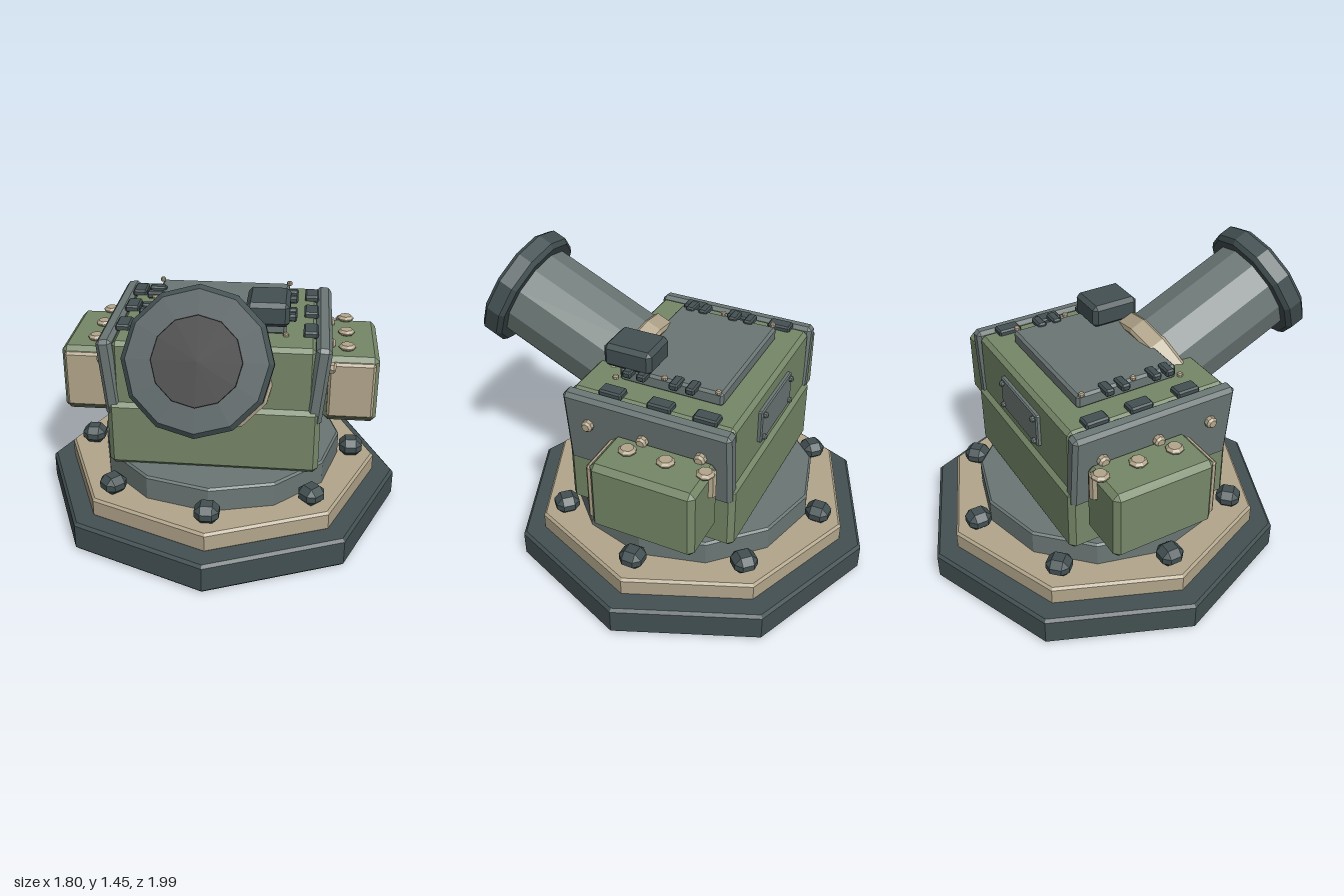
import * as THREE from 'three';
import { ConvexGeometry } from 'three/addons/geometries/ConvexGeometry.js';

const paint = (name, color) => {
  const m = new THREE.MeshStandardMaterial({ color });
  m.name = name;
  return m;
};

// Box with chamfered edges
function chamferBox(w, h, d, c) {
  const pts = [], s = [-1, 1];
  for (const i of s) for (const j of s) for (const k of s) {
    const x = w / 2, y = h / 2, z = d / 2;
    pts.push(new THREE.Vector3(i * x, j * (y - c), k * (z - c)),
      new THREE.Vector3(i * (x - c), j * y, k * (z - c)),
      new THREE.Vector3(i * (x - c), j * (y - c), k * z));
  }
  return new ConvexGeometry(pts);
}

// Faceted solid disc from y0 to y1 with chamfered rims
function prism(r, y0, y1, sides, c) {
  const profile = [[0, y0], [r - c, y0], [r, y0 + c], [r, y1 - c], [r - c, y1], [0, y1]]
    .map(([x, y]) => new THREE.Vector2(x, y));
  const g = new THREE.LatheGeometry(profile, sides).toNonIndexed();
  g.computeVertexNormals();
  return g;
}

export function createModel() {
  const green = paint('olive green', 0x768768);
  const tan = paint('sand', 0xb3a68c);
  const gray = paint('steel gray', 0x6b7775);
  const dark = paint('dark slate', 0x435052);
  const black = paint('bore black', 0x232323);

  const model = new THREE.Group();
  const add = (name, geo, mat, x = 0, y = 0, z = 0, parent = model) => {
    const m = new THREE.Mesh(geo, mat);
    m.name = name;
    m.position.set(x, y, z);
    parent.add(m);
    return m;
  };

  // Stepped turntable base
  const cz = -0.1;
  add('basePlate', prism(0.9, 0, 0.148, 8, 0.014), dark, 0, 0, cz);
  add('baseRing', prism(0.79, 0.14, 0.24, 8, 0.012), tan, 0, 0, cz);
  add('turntable', prism(0.605, 0.23, 0.36, 12, 0.01), gray, 0, 0, cz);
  const boltGeo = chamferBox(0.115, 0.09, 0.115, 0.03);
  for (let i = 0; i < 8; i++) {
    const a = i * Math.PI / 4;
    add('baseBolt', boltGeo, dark, 0.67 * Math.sin(a), 0.284, cz + 0.67 * Math.cos(a)).rotation.y = a;
  }

  // Hull
  add('lowerHull', chamferBox(1, 0.335, 0.84, 0.025), green, 0, 0.522, cz);
  add('upperHull', chamferBox(0.94, 0.4, 0.8, 0.02), green, 0, 0.79, cz);
  add('backPanel', chamferBox(0.38, 0.17, 0.03, 0.006), gray, 0, 0.83, -0.505);
  const rivet = prism(0.014, 0, 0.022, 8, 0.005);
  for (const x of [-0.165, 0.165]) for (const y of [0.77, 0.89])
    add('panelRivet', rivet, gray, x, y, -0.515).rotation.x = -Math.PI / 2;

  // Roof hatch with clips and rivets
  add('roofHatch', chamferBox(0.65, 0.07, 0.51, 0.012), gray, 0, 1.02, -0.125);
  const clip = chamferBox(0.085, 0.035, 0.045, 0.008);
  const hinge = chamferBox(0.07, 0.035, 0.115, 0.008);
  const knob = prism(0.042, 0, 0.03, 8, 0.012);
  const plateBolt = prism(0.028, 0, 0.04, 8, 0.01);

  // Mirrored side parts
  for (const s of [-1, 1]) {
    for (const z of [-0.24, -0.16, 0, 0.07]) add('hatchClip', clip, dark, s * 0.33, 1.053, z);
    for (const z of [-0.36, -0.1, 0.15]) add('hatchRivet', rivet, tan, s * 0.325, z === 0.15 ? 0.985 : 1.05, z);
    for (const z of [-0.36, -0.14, 0.1]) add('roofHinge', hinge, dark, s * 0.44, 0.998, z);

    add('sidePlate', chamferBox(0.075, 0.39, 0.82, 0.018), gray, s * 0.485, 0.803, cz).rotation.z = -s * 0.1;
    for (const z of [0.18, -0.095, -0.375])
      add('plateBolt', plateBolt, tan, s * 0.522, 0.853, z).rotation.z = -s * Math.PI / 2;

    // Side storage box
    const box = new THREE.Group();
    box.name = 'storageBox';
    box.position.set(s * 0.645, 0, -0.2);
    model.add(box);
    add('boxBody', chamferBox(0.26, 0.345, 0.5, 0.025), green, 0, 0.67, 0, box);
    add('boxFoot', chamferBox(0.2, 0.06, 0.4, 0.015), dark, -s * 0.02, 0.5, -0.02, box);
    add('boxFrontPlate', chamferBox(0.225, 0.29, 0.04, 0.012), tan, 0, 0.675, 0.25, box);
    add('boxRod', prism(0.025, 0.72, 0.855, 8, 0.008), tan, -s * 0.05, 0, -0.25, box);
    for (const z of [-0.235, -0.05, 0.135])
      add('boxKnob', knob, tan, -s * 0.025, 0.838, z, box);
  }

  // Sight block on the roof
  add('sight', chamferBox(0.2, 0.115, 0.24, 0.02), dark, 0.24, 1.107, 0.085);

  // Raised barrel, local y runs toward the muzzle
  const gun = new THREE.Group();
  gun.name = 'barrelAssembly';
  gun.position.set(0, 0.637, -0.297);
  gun.rotation.x = THREE.MathUtils.degToRad(65);
  model.add(gun);
  add('mountCollar', prism(0.289, 0.525, 0.627, 12, 0.014), tan, 0, 0, 0.04, gun);
  add('barrel', prism(0.24, 0.54, 1.2, 12, 0.005), gray, 0, 0, 0, gun);
  add('muzzleCollar', prism(0.3, 1.18, 1.29, 12, 0.02), dark, 0, 0, 0, gun);
  add('bore', prism(0.18, 1.285, 1.294, 12, 0.002), black, 0, 0, 0, gun);
  return model;
}
